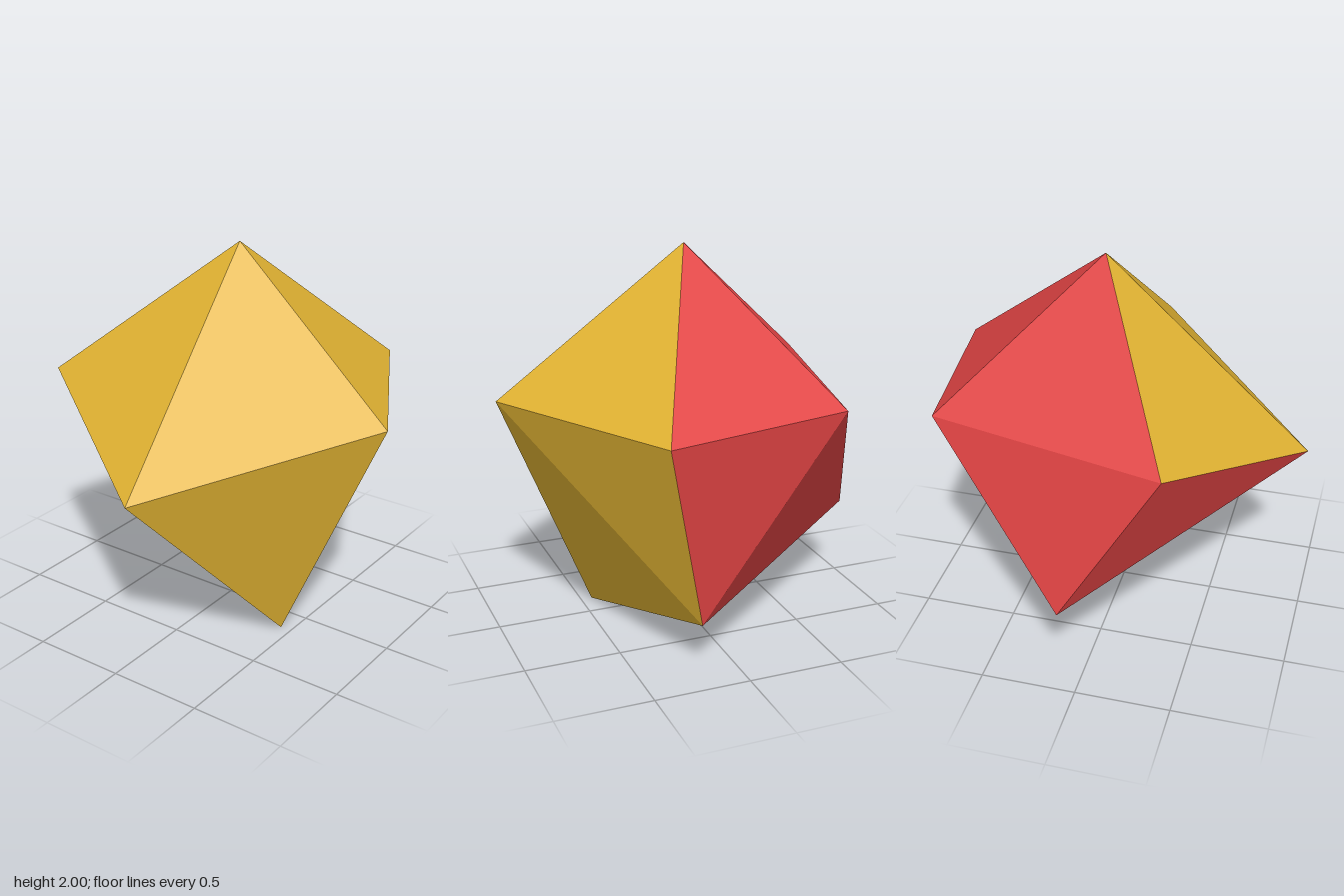
import * as THREE from 'three';

// Corners of the irregular fourteen-sided gem
const corners = {
  top: [-0.01, 2.0, -0.09],
  front: [0.08, 0.95, 0.975],
  sideA: [0.957, 1.237, 0.035],
  sideB: [-0.855, 1.277, 0.4],
  lowSide: [-0.963, 0.465, -0.095],
  base: [0.44, 0, 0.153],
  backA: [0.405, 1.237, -0.975],
  backB: [-0.565, 1.27, -0.845],
  lowBack: [0.19, 0.26, -0.845],
};

const yellowFaces = [
  ['top', 'front', 'sideA'],
  ['top', 'sideB', 'front'],
  ['top', 'sideA', 'backA'],
  ['front', 'base', 'sideA'],
  ['sideA', 'base', 'lowBack'],
  ['sideA', 'lowBack', 'backA'],
];

const redFaces = [
  ['sideB', 'lowSide', 'front'],
  ['front', 'lowSide', 'base'],
  ['top', 'backA', 'backB'],
  ['top', 'backB', 'sideB'],
  ['backB', 'lowSide', 'sideB'],
  ['backB', 'backA', 'lowBack'],
  ['backB', 'lowBack', 'lowSide'],
  ['lowBack', 'base', 'lowSide'],
];

// Flat facets, each turned to face away from the middle of the gem
function facets(name, faces, material) {
  const middle = new THREE.Vector3(0, 0.95, 0);
  const points = [];
  for (const face of faces) {
    const [a, b, c] = face.map((key) => new THREE.Vector3(...corners[key]));
    const normal = new THREE.Triangle(a, b, c).getNormal(new THREE.Vector3());
    const outward = normal.dot(a.clone().sub(middle)) > 0;
    points.push(a, ...(outward ? [b, c] : [c, b]));
  }
  const geometry = new THREE.BufferGeometry().setFromPoints(points);
  geometry.computeVertexNormals();
  const mesh = new THREE.Mesh(geometry, material);
  mesh.name = name;
  return mesh;
}

export function createModel() {
  const yellow = new THREE.MeshStandardMaterial({ color: 0xe0b232 });
  yellow.name = 'golden yellow';
  const red = new THREE.MeshStandardMaterial({ color: 0xe04343 });
  red.name = 'red';

  const gem = new THREE.Group();
  gem.name = 'gem';
  gem.add(facets('yellowFacets', yellowFaces, yellow));
  gem.add(facets('redFacets', redFaces, red));
  return gem;
}
